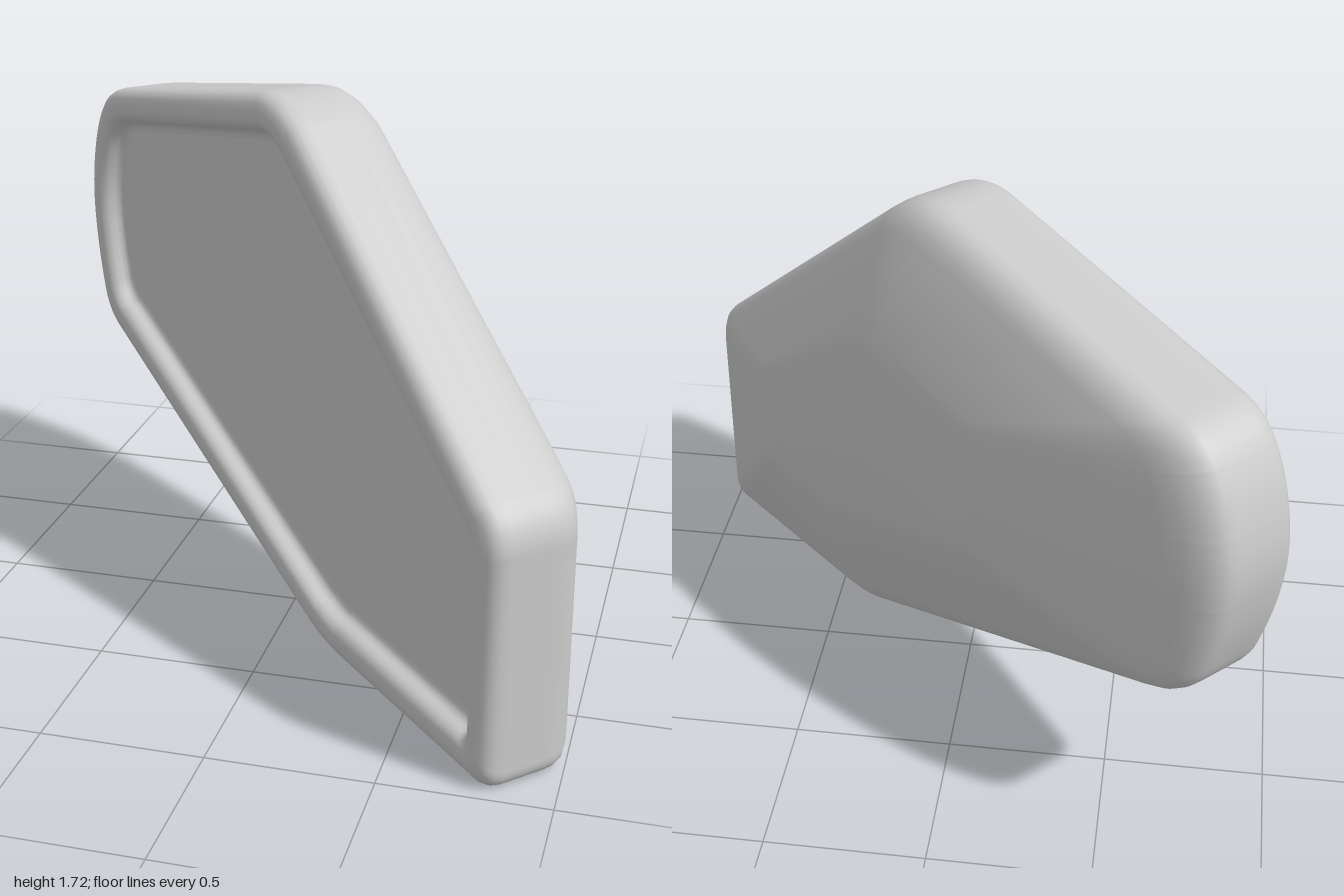
import * as THREE from 'three';

// Corners, counter-clockwise from the front: outer x, y, back panel x, y, rounding length
const CORNERS = [
  [0.38, 0.04, 0.33, 0.55, 0.1],
  [1.27, 0.0, 0.73, 0.53, 0.06],
  [1.27, 0.8, 0.73, 0.87, 0.09],
  [0.08, 1.745, 0.19, 1.27, 0.14],
  [-1.14, 1.525, -0.38, 1.22, 0.09],
  [-1.24, 1.37, -0.42, 1.15, 0.2],
  [-1.29, 1.15, -0.45, 1.02, 0.2],
  [-1.26, 0.92, -0.44, 0.91, 0.2],
  [-1.18, 0.68, -0.42, 0.82, 0.1],
];
const outer = CORNERS.map((c) => new THREE.Vector2(c[0], c[1]));
const back = CORNERS.map((c) => new THREE.Vector2(c[2], c[3]));
const STEPS = 8;

// Moves every edge of a polygon inwards by d
function inset(points, d) {
  const n = points.length;
  return points.map((p, i) => {
    const e1 = p.clone().sub(points[(i + n - 1) % n]).normalize();
    const e2 = points[(i + 1) % n].clone().sub(p).normalize();
    const miter = new THREE.Vector2(-e1.y - e2.y, e1.x + e2.x);
    return p.clone().addScaledVector(miter, d / (1 + e1.dot(e2)));
  });
}

// Replaces every corner with a quadratic curve
function roundCorners(points, scale) {
  const n = points.length, out = [];
  points.forEach((p, i) => {
    const end = (q) => {
      const len = p.distanceTo(q);
      return p.clone().lerp(q, Math.min(CORNERS[i][4] * scale, len * 0.48) / len);
    };
    const curve = new THREE.QuadraticBezierCurve(end(points[(i + n - 1) % n]), p, end(points[(i + 1) % n]));
    out.push(...curve.getPoints(STEPS));
  });
  return out;
}

// Joins closed rings of equal length; optionally caps the last one
function loft(rings, cap) {
  const n = rings[0].pts.length, pos = [], index = [];
  rings.forEach((r) => r.pts.forEach((p) => pos.push(p.x, p.y, r.z)));
  for (let j = 0; j < rings.length - 1; j++) {
    for (let i = 0; i < n; i++) {
      const k = (i + 1) % n;
      const a = j * n + i, b = a + n, c = (j + 1) * n + k, d = j * n + k;
      index.push(a, b, c, a, c, d);
    }
  }
  if (cap) {
    const last = (rings.length - 1) * n, centre = pos.length / 3;
    pos.push(0.15, 0.9, rings[rings.length - 1].z);
    for (let i = 0; i < n; i++) index.push(last + i, centre, last + ((i + 1) % n));
  }
  const g = new THREE.BufferGeometry();
  g.setAttribute('position', new THREE.Float32BufferAttribute(pos, 3));
  g.setIndex(index);
  g.computeVertexNormals();
  return g;
}

export function createModel() {
  const group = new THREE.Group();
  const material = new THREE.MeshStandardMaterial({ color: 0xcccccc });

  // Rim cross-section: inset from the outline, depth
  const rim = [
    [0.155, 0.06], [0.14, 0.062], [0.127, 0.07], [0.12, 0.085], [0.115, 0.105], [0.103, 0.121],
    [0.085, 0.13], [0.055, 0.131], [0.032, 0.126], [0.014, 0.112], [0.004, 0.092], [0, 0.065],
    [0, 0], [0, -0.08], [0.002, -0.115],
  ].map(([d, z]) => ({ pts: roundCorners(inset(outer, d), 1 - d * 3), z }));

  // Rear shell: fraction of the way from the outline to the flat back panel, depth
  const shell = [
    [0.02, -0.145], [0.06, -0.172], [0.12, -0.195], [0.2, -0.213], [0.45, -0.257],
    [0.7, -0.292], [0.88, -0.314], [0.96, -0.322], [1.04, -0.326], [1.2, -0.328],
  ].map(([t, z]) => ({
    pts: roundCorners(outer.map((p, i) => p.clone().lerp(back[i], t)), 1 - t * 0.3), z,
  }));

  const housing = new THREE.Mesh(loft([...rim, ...shell], true), material);
  housing.name = 'housing';
  group.add(housing);

  // Flat pane at the bottom of the recess
  const pane = new THREE.Mesh(new THREE.ShapeGeometry(new THREE.Shape(rim[0].pts)), material);
  pane.position.z = rim[0].z;
  pane.name = 'mirrorPane';
  group.add(pane);

  // Whole part stands diagonally
  const model = new THREE.Group();
  group.rotation.y = -Math.PI / 4;
  group.name = 'wingMirror';
  model.add(group);
  return model;
}
